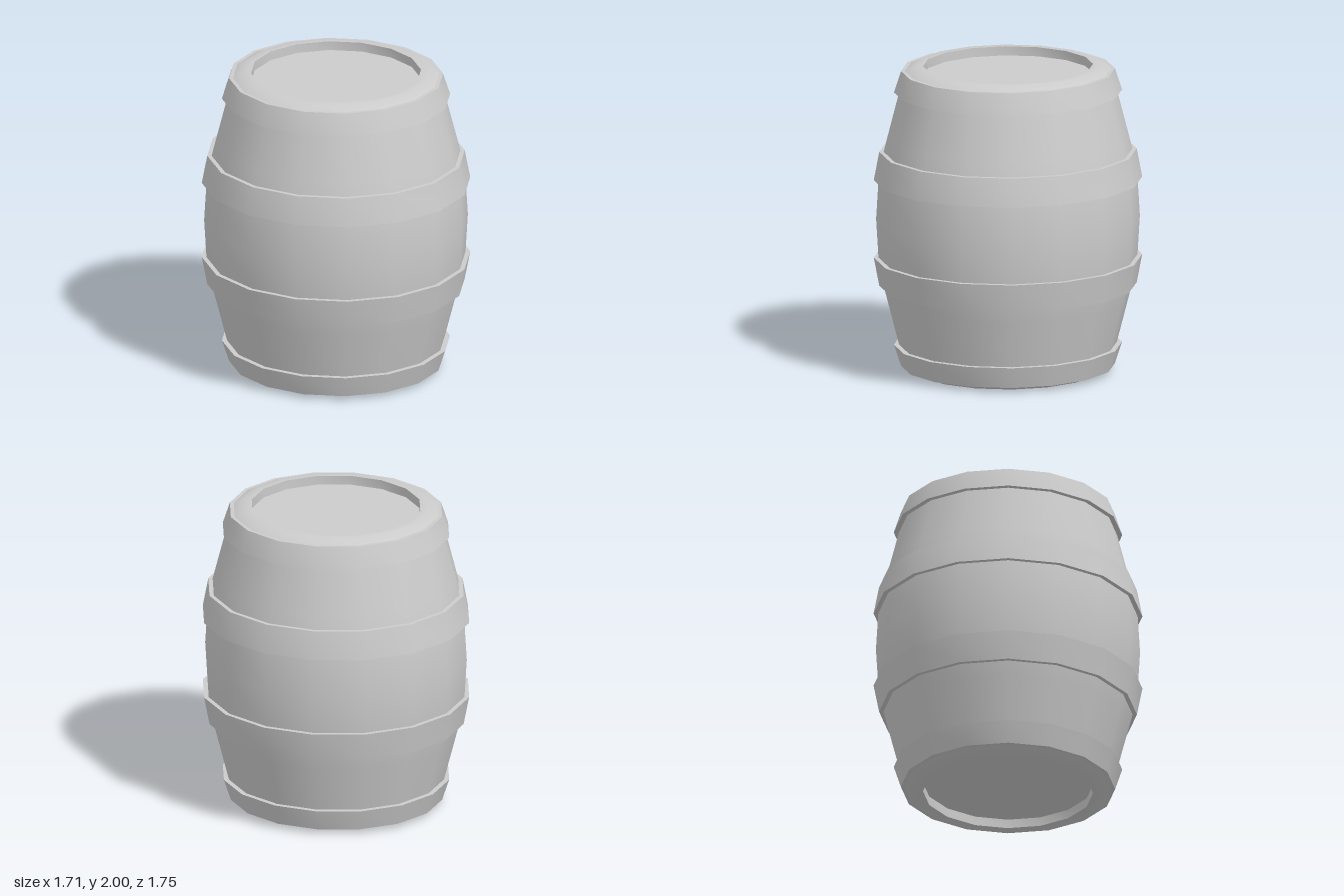
import * as THREE from 'three';
import { toCreasedNormals } from 'three/addons/utils/BufferGeometryUtils.js';

const SIDES = 16;
const DEPTH_SCALE = 1.024; // the barrel is very slightly deeper than wide

const mirrorY = (points) => points.map(([r, y]) => [r, 2 - y]).reverse();

export function createModel() {
  const barrel = new THREE.Group();
  barrel.name = 'barrel';
  const material = new THREE.MeshStandardMaterial({ color: 0xcccccc });

  // Spins a [radius, height] profile, listed from bottom to top on the outside
  function addLathe(name, profile) {
    const points = profile.map(([r, y]) => new THREE.Vector2(r, y));
    const geometry = new THREE.LatheGeometry(points, SIDES);
    geometry.scale(1, 1, DEPTH_SCALE);
    const mesh = new THREE.Mesh(toCreasedNormals(geometry, 0.75), material);
    mesh.name = name;
    barrel.add(mesh);
  }

  // Staves, rims and recessed heads: upper half, mirrored for the lower half
  const upperHalf = [
    [0.823, 1.255], [0.805, 1.38], [0.768, 1.53], [0.692, 1.83], [0.655, 1.97],
    [0.59, 2], [0.54, 2], [0.54, 1.94], [0, 1.94],
  ];
  addLathe('body', [...mirrorY(upperHalf), [0.838, 1], ...upperHalf]);

  // Flared hoops, widest towards the middle of the barrel
  const hoops = {
    EndHoop: [[0.68, 1.83], [0.725, 1.83], [0.68, 1.97], [0.64, 1.97]],
    MiddleHoop: [[0.81, 1.255], [0.853, 1.255], [0.818, 1.44], [0.77, 1.44]],
  };
  for (const [name, profile] of Object.entries(hoops)) {
    addLathe('upper' + name, profile);
    addLathe('lower' + name, mirrorY(profile));
  }
  return barrel;
}
